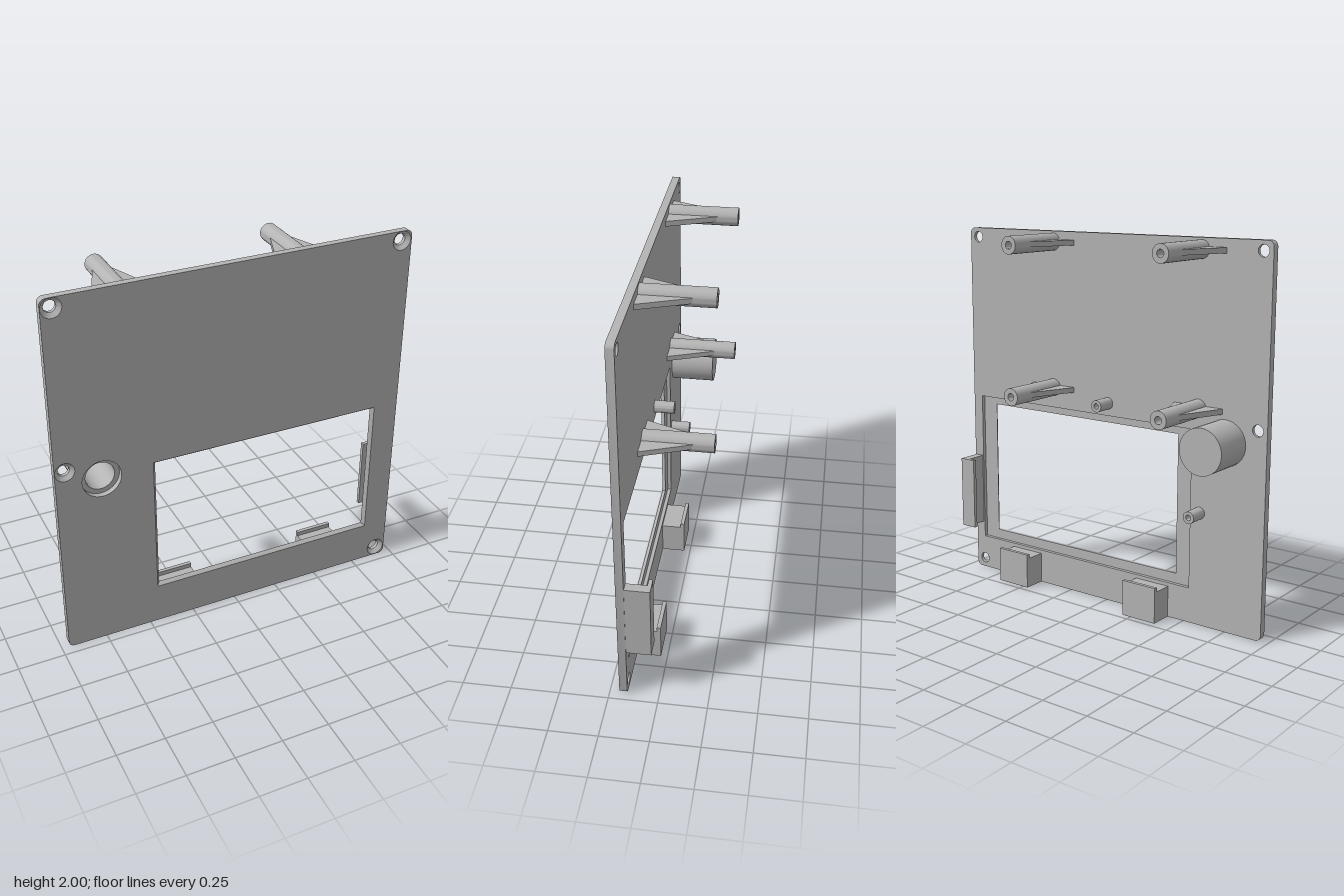
import * as THREE from 'three';
import { mergeGeometries, toCreasedNormals } from 'three/addons/utils/BufferGeometryUtils.js';

const FRONT = 0.2, MID = 0.18, BACK = 0.16;

// Loops run counter-clockwise as seen from the front
function circle(x, y, r, n = 40) {
  return Array.from({ length: n }, (_, i) => {
    const a = (i / n) * Math.PI * 2;
    return new THREE.Vector2(x + r * Math.cos(a), y + r * Math.sin(a));
  });
}

function rect(x0, y0, x1, y1) {
  return [[x0, y0], [x1, y0], [x1, y1], [x0, y1]].map(([x, y]) => new THREE.Vector2(x, y));
}

function roundedRect(x0, y0, x1, y1, r, n = 6) {
  const corners = [[x1 - r, y1 - r], [x0 + r, y1 - r], [x0 + r, y0 + r], [x1 - r, y0 + r]];
  return corners.flatMap(([cx, cy], k) => Array.from({ length: n + 1 }, (_, i) => {
    const a = (k + i / n) * Math.PI / 2;
    return new THREE.Vector2(cx + r * Math.cos(a), cy + r * Math.sin(a));
  }));
}

// Walls joining successive [loop, z] rings; front-to-back order faces inward
function walls(rings) {
  const pos = [];
  for (let k = 0; k + 1 < rings.length; k++) {
    const [a, za] = rings[k], [b, zb] = rings[k + 1];
    for (let i = 0; i < a.length; i++) {
      const j = (i + 1) % a.length;
      pos.push(a[i].x, a[i].y, za, a[j].x, a[j].y, za, b[j].x, b[j].y, zb);
      pos.push(a[i].x, a[i].y, za, b[j].x, b[j].y, zb, b[i].x, b[i].y, zb);
    }
  }
  const g = new THREE.BufferGeometry();
  g.setAttribute('position', new THREE.Float32BufferAttribute(pos, 3));
  g.computeVertexNormals();
  return toCreasedNormals(g, 0.5);
}

// Flat face with holes, facing front or back
function cap(outline, holes, z, flip) {
  const shape = new THREE.Shape(outline);
  shape.holes = holes.map((h) => new THREE.Path(h));
  let g = new THREE.ShapeGeometry(shape);
  if (flip) {
    const index = g.index.array;
    for (let i = 0; i < index.length; i += 3) [index[i], index[i + 1]] = [index[i + 1], index[i]];
  }
  g.translate(0, 0, z);
  g = g.toNonIndexed();
  g.deleteAttribute('uv');
  g.computeVertexNormals();
  return g;
}

// Turned part standing on the back of the panel
function turned(profile) {
  const g = new THREE.LatheGeometry(profile.map(([r, h]) => new THREE.Vector2(r, h)), 32);
  g.rotateX(-Math.PI / 2);
  return toCreasedNormals(g, 0.5);
}

function tubeProfile(r, length, bore, depth) {
  return [[r, 0], [r, length], [bore, length], [bore, length - depth], [0, length - depth]];
}

export function createModel() {
  const model = new THREE.Group();
  model.name = 'displayPanel';
  const grey = new THREE.MeshStandardMaterial({ color: 0xb4b4b4 });
  grey.name = 'plainGrey';

  const add = (name, geometry, x = 0, y = 0, z = 0, parent = model) => {
    const mesh = new THREE.Mesh(geometry, grey);
    mesh.name = name;
    mesh.position.set(x, y, z);
    parent.add(mesh);
    return mesh;
  };
  const block = (name, x0, x1, y0, y1, z0, z1, parent) =>
    add(name, new THREE.BoxGeometry(x1 - x0, y1 - y0, z1 - z0),
      (x0 + x1) / 2, (y0 + y1) / 2, (z0 + z1) / 2, parent);

  // Panel: countersunk screw holes, bevelled window with a recess behind, button well
  const outline = roundedRect(-0.96, 0, 0.96, 2, 0.03);
  const screwHoles = [[-0.907, 1.95], [0.903, 1.95], [-0.907, 1.083], [0.903, 0.054]].map(([x, y]) => [
    [circle(x, y, 0.051), FRONT], [circle(x, y, 0.03), MID], [circle(x, y, 0.03), BACK]]);
  const recess = rect(-0.53, 0.19, 0.9, 1.04);
  const window_ = [
    [rect(-0.453, 0.23, 0.82, 1.014), FRONT], [rect(-0.437, 0.245, 0.805, 0.999), MID],
    [recess, MID], [recess, BACK]];
  const bx = -0.723, by = 0.995;
  const well = [
    [circle(bx, by, 0.102), FRONT], [circle(bx, by, 0.102), 0.17],
    [circle(bx, by, 0.076), 0.17], [circle(bx, by, 0.076), -0.04], [circle(bx, by, 0.0005), -0.04]];
  const openings = [...screwHoles, window_, well];
  const backHoles = [...screwHoles.map((h) => h[2][0]), recess, circle(bx, by, 0.118)];
  add('panel', mergeGeometries([
    cap(outline, openings.map((o) => o[0][0]), FRONT, false),
    cap(outline, backHoles, BACK, true),
    walls([[outline, BACK], [outline, FRONT]]),
    ...openings.map(walls),
  ]));

  // Closed housing behind the button well
  add('buttonHousing', turned([[0.12, 0], [0.12, 0.23], [0, 0.23]]), bx, by, BACK);

  // Four hollow standoffs, each with a tapered rib to both sides
  const postGeometry = turned(tubeProfile(0.047, 0.36, 0.02, 0.15));
  const ribShape = new THREE.Shape([[-0.142, 0], [0.142, 0], [0.04, 0.267], [-0.04, 0.267]]
    .map(([x, y]) => new THREE.Vector2(x, y)));
  const ribGeometry = new THREE.ExtrudeGeometry(ribShape, { depth: 0.028, bevelEnabled: false });
  ribGeometry.translate(0, 0, -0.014).rotateX(-Math.PI / 2);
  for (const x of [-0.565, 0.366]) {
    for (const y of [1.943, 1.153]) {
      const standoff = new THREE.Group();
      standoff.name = 'standoff';
      standoff.position.set(x, y, BACK);
      model.add(standoff);
      add('standoffPost', postGeometry, 0, 0, 0, standoff);
      add('standoffRib', ribGeometry, 0, 0, 0, standoff);
    }
  }

  // Small hollow pins beside the window
  const pinGeometry = turned(tubeProfile(0.032, 0.105, 0.015, 0.08));
  add('locatingPin', pinGeometry, -0.003, 1.108, BACK);
  add('locatingPin', pinGeometry, -0.585, 0.608, BACK);

  // Hooked clips below the window
  for (const x of [-0.402, 0.468]) {
    const clip = new THREE.Group();
    clip.name = 'lowerClip';
    model.add(clip);
    block('clipBody', x, x + 0.205, 0, 0.17, 0.034, BACK, clip);
    block('clipLip', x, x + 0.205, 0.17, 0.194, 0.034, 0.054, clip);
  }

  // Hooked clip at the left edge
  const sideClip = new THREE.Group();
  sideClip.name = 'sideClip';
  model.add(sideClip);
  block('clipBody', 0.907, 0.957, 0.28, 0.683, 0.034, BACK, sideClip);
  block('clipLip', 0.864, 0.907, 0.28, 0.683, 0.034, 0.054, sideClip);

  return model;
}
